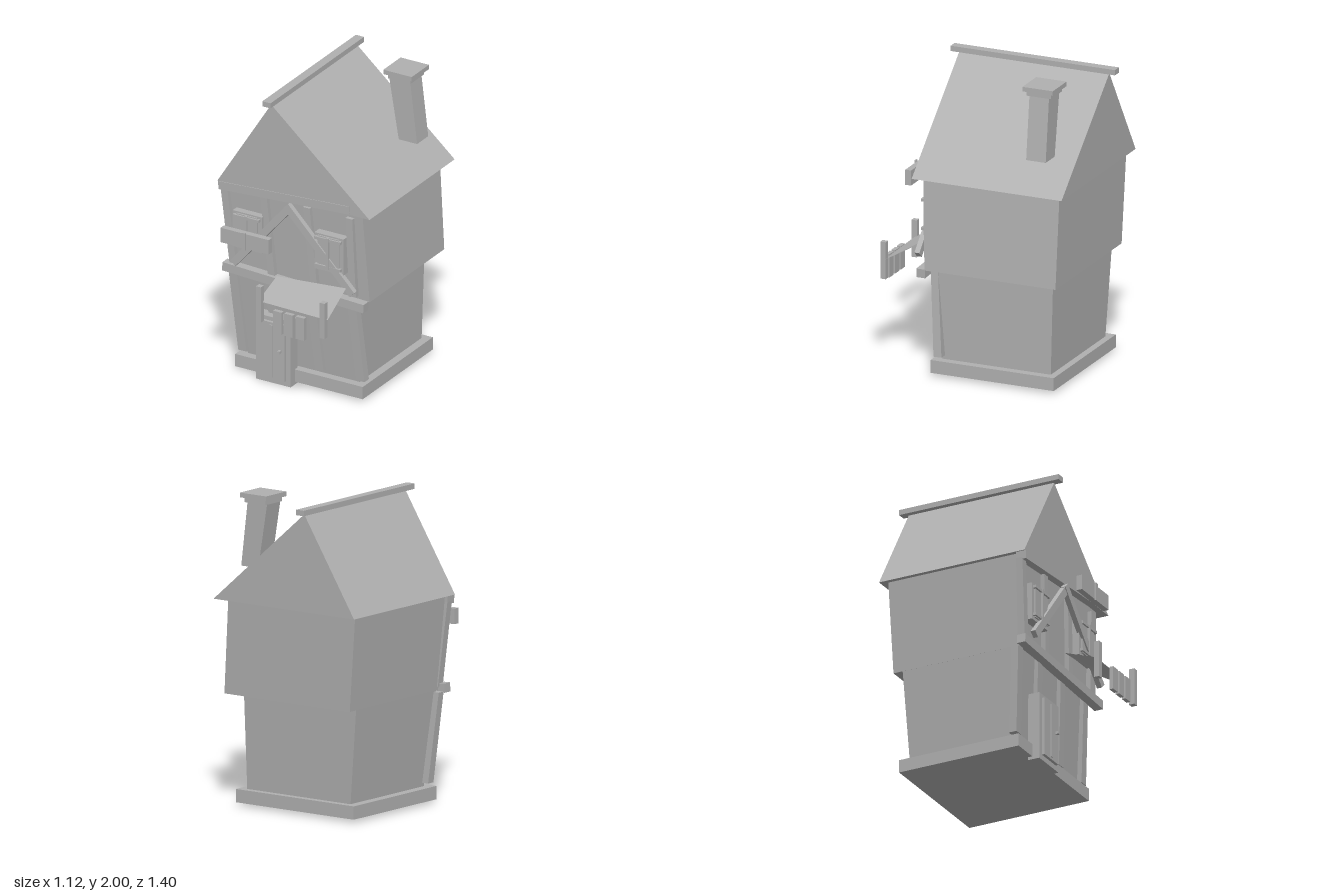
import * as THREE from 'three';

const grey = new THREE.MeshStandardMaterial({ color: 0xb0b0b0 });
grey.name = 'plain grey';

// Six-sided solid from a bottom and a top rectangle: [x0, x1, z0, z1] at heights y0 and y1
function skewGeometry(b, y0, t, y1) {
  const ring = ([x0, x1, z0, z1], y) => [[x0, y, z0], [x0, y, z1], [x1, y, z1], [x1, y, z0]];
  const B = ring(b, y0), T = ring(t, y1), pos = [];
  const quad = (p, q, r, s) => pos.push(...p, ...q, ...r, ...p, ...r, ...s);
  quad(...T);
  quad(B[3], B[2], B[1], B[0]);
  for (let i = 0; i < 4; i++) {
    const j = (i + 1) % 4;
    quad(B[i], B[j], T[j], T[i]);
  }
  const g = new THREE.BufferGeometry();
  g.setAttribute('position', new THREE.Float32BufferAttribute(pos, 3));
  g.computeVertexNormals();
  return g;
}

export function createModel() {
  const root = new THREE.Group();
  root.name = 'crookedHouse';

  const add = (name, geometry, parent = root, material = grey) => {
    const m = new THREE.Mesh(geometry, material);
    m.name = name;
    parent.add(m);
    return m;
  };
  const skew = (name, b, y0, t, y1, parent) => add(name, skewGeometry(b, y0, t, y1), parent);
  const box = (name, x0, x1, y0, y1, z0, z1, parent) => {
    const m = add(name, new THREE.BoxGeometry(x1 - x0, y1 - y0, z1 - z0), parent);
    m.position.set((x0 + x1) / 2, (y0 + y1) / 2, (z0 + z1) / 2);
    return m;
  };
  // Straight timber between two points of the facade
  const beam = (name, ax, ay, bx, by, width, z0, z1) => {
    const m = add(name, new THREE.BoxGeometry(Math.hypot(bx - ax, by - ay), width, z1 - z0));
    m.position.set((ax + bx) / 2, (ay + by) / 2, (z0 + z1) / 2);
    m.rotation.z = Math.atan2(by - ay, bx - ax);
  };

  // Foundation and the two leaning storeys
  box('foundation', -0.48, 0.455, 0.02, 0.105, -0.55, 0.3);
  skew('lowerStorey', [-0.42, 0.4, -0.505, 0.245], 0.1, [-0.48, 0.41, -0.525, 0.295], 0.72);
  skew('upperStorey', [-0.48, 0.515, -0.59, 0.315], 0.715, [-0.53, 0.477, -0.6, 0.34], 1.325);

  // Roof prism with ridge beam
  const gable = new THREE.Shape([[-0.56, 1.325], [0.555, 1.325], [-0.165, 1.95]]
    .map(([x, y]) => new THREE.Vector2(x, y)));
  add('roof', new THREE.ExtrudeGeometry(gable, { depth: 1.035, bevelEnabled: false })).position.z = -0.65;
  box('ridgeBeam', -0.2, -0.14, 1.95, 1.985, -0.7, 0.435);

  // Leaning chimney with a stepped cap
  const chimney = new THREE.Group();
  chimney.name = 'chimney';
  root.add(chimney);
  skew('chimneyShaft', [0.32, 0.455, -0.495, -0.36], 1.525, [0.25, 0.405, -0.495, -0.36], 1.94, chimney);
  box('chimneyLowerCap', 0.25, 0.415, 1.938, 1.97, -0.512, -0.343, chimney);
  box('chimneyUpperCap', 0.228, 0.436, 1.97, 2, -0.535, -0.325, chimney);

  // Crooked horizontal timbers and diagonal braces
  beam('floorBeam', -0.53, 0.733, 0.505, 0.688, 0.058, 0.315, 0.375);
  beam('eavesBeam', -0.55, 1.298, 0.41, 1.355, 0.055, 0.32, 0.39);
  beam('leftBrace', -0.435, 0.79, -0.02, 1.275, 0.05, 0.372, 0.405);
  beam('rightBrace', -0.045, 1.285, 0.44, 0.785, 0.05, 0.376, 0.41);

  // Leaning posts: [bottom centre x, top centre x]
  for (const [xb, xt] of [[-0.44, -0.49], [-0.18, -0.225], [0.125, 0.075], [0.425, 0.38]]) {
    skew('lowerPost', [xb - 0.03, xb + 0.03, 0.225, 0.28], 0.13, [xt - 0.03, xt + 0.03, 0.27, 0.32], 0.71);
  }
  for (const [xb, xt] of [[-0.465, -0.525], [-0.185, -0.235], [0.125, 0.08], [0.41, 0.392]]) {
    skew('upperPost', [xb - 0.025, xb + 0.025, 0.3, 0.35], 0.74, [xt - 0.025, xt + 0.025, 0.32, 0.365], 1.285);
  }

  // Windows: casing, raised pane, mullion and two rails
  for (const [x, z] of [[-0.343, -0.01], [0.262, 0]]) {
    const w = new THREE.Group();
    w.name = 'window';
    w.position.set(x, 1.02, z);
    root.add(w);
    box('windowCasing', -0.107, 0.107, -0.125, 0.125, 0.33, 0.39, w);
    box('windowPane', -0.078, 0.078, -0.105, 0.115, 0.39, 0.4, w);
    box('mullion', -0.009, 0.009, -0.1, 0.115, 0.39, 0.415, w);
    for (const y of [-0.09, 0.1]) box('windowRail', -0.095, 0.095, y - 0.009, y + 0.009, 0.39, 0.412, w);
  }

  // Door
  const door = new THREE.Group();
  door.name = 'door';
  root.add(door);
  box('doorCasing', -0.297, -0.043, 0, 0.455, 0.27, 0.35, door);
  box('doorPanel', -0.262, -0.078, 0.035, 0.428, 0.35, 0.37, door);
  box('doorStrip', -0.183, -0.163, 0.05, 0.412, 0.37, 0.377, door);
  box('doorKnob', -0.118, -0.1, 0.232, 0.25, 0.37, 0.392, door);

  // Awning sheet with its front posts and hanging boards
  const awning = new THREE.Group();
  awning.name = 'awning';
  root.add(awning);
  const sheet = new THREE.BufferGeometry();
  sheet.setAttribute('position', new THREE.Float32BufferAttribute([
    -0.1, 0.79, 0.425, -0.1, 0.71, 0.65, 0.408, 0.7, 0.65,
    -0.1, 0.79, 0.425, 0.408, 0.7, 0.65, 0.408, 0.83, 0.425], 3));
  sheet.computeVertexNormals();
  const sheetMaterial = grey.clone();
  sheetMaterial.side = THREE.DoubleSide;
  add('awningSheet', sheet, awning, sheetMaterial);
  for (const x of [-0.085, 0.382]) box('awningPost', x - 0.018, x + 0.018, 0.575, 0.82, 0.635, 0.672, awning);
  for (const x of [0.068, 0.15, 0.234]) box('hangingBoard', x - 0.031, x + 0.031, 0.54, 0.695, 0.67, 0.697, awning);

  // Sign board with a centre strap
  box('signBoard', -0.355, -0.002, 1.07, 1.17, 0.645, 0.685);
  box('signStrap', -0.19, -0.168, 1.06, 1.18, 0.685, 0.697);

  return root;
}
